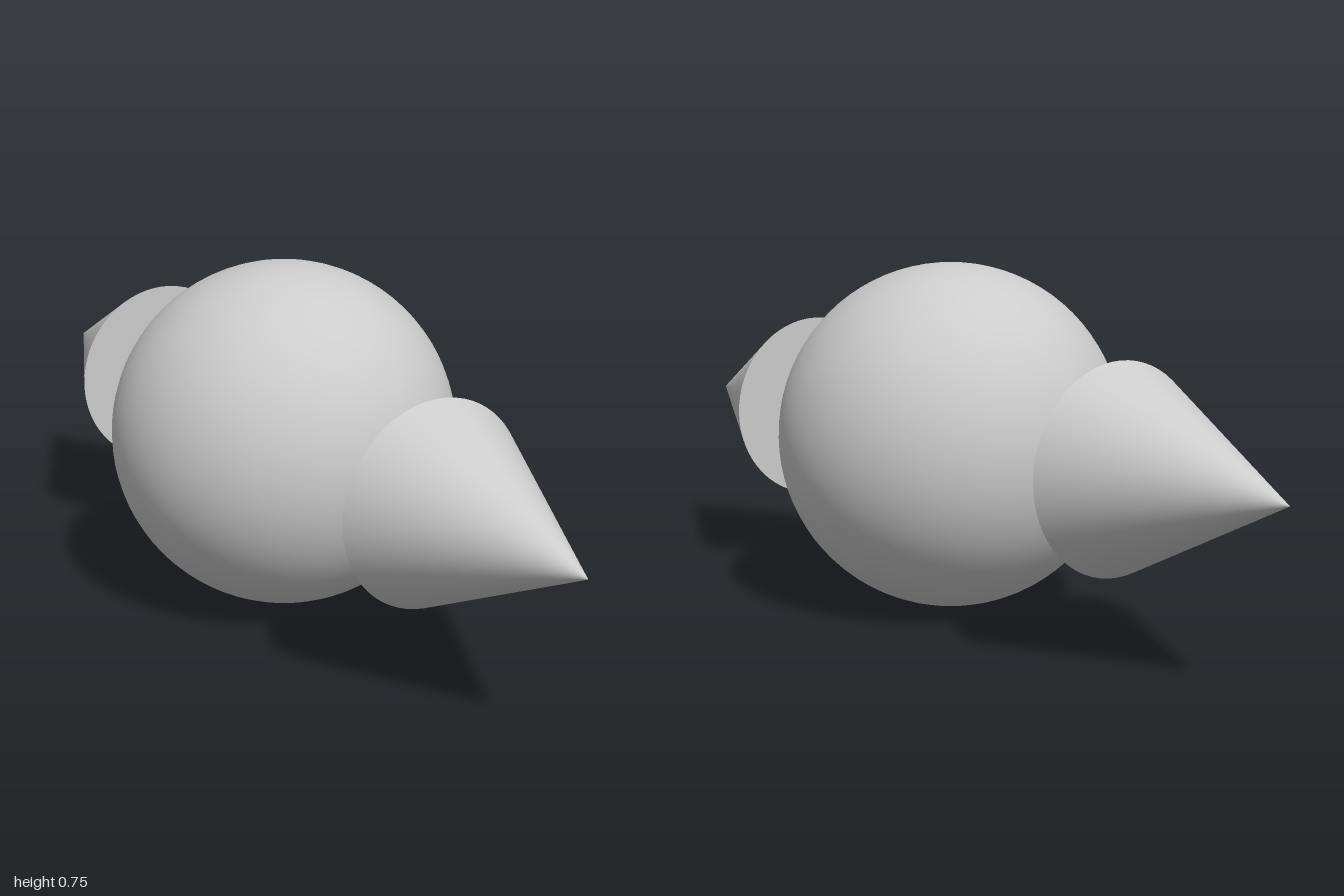
import * as THREE from 'three';

const RADIUS = 0.373;       // central sphere
const CONE_RADIUS = 0.213;
const CONE_BASE = 0.553;    // distance of each cone's base from the centre
const CONE_TIP = 1;

export function createModel() {
  const model = new THREE.Group();
  model.name = 'sphereWithCones';
  const material = new THREE.MeshStandardMaterial({ color: 0xcccccc });

  // Central sphere resting on the ground plane
  const sphere = new THREE.Mesh(new THREE.SphereGeometry(RADIUS, 64, 40), material);
  sphere.name = 'sphere';
  sphere.position.y = RADIUS;
  model.add(sphere);

  // Two closed cones pointing away from the sphere along z
  const coneGeometry = new THREE.ConeGeometry(CONE_RADIUS, CONE_TIP - CONE_BASE, 64, 8);
  for (const [name, side] of [['frontCone', 1], ['backCone', -1]]) {
    const cone = new THREE.Mesh(coneGeometry, material);
    cone.name = name;
    cone.rotation.x = side * Math.PI / 2;
    cone.position.set(0, RADIUS, side * (CONE_BASE + CONE_TIP) / 2);
    model.add(cone);
  }
  return model;
}
